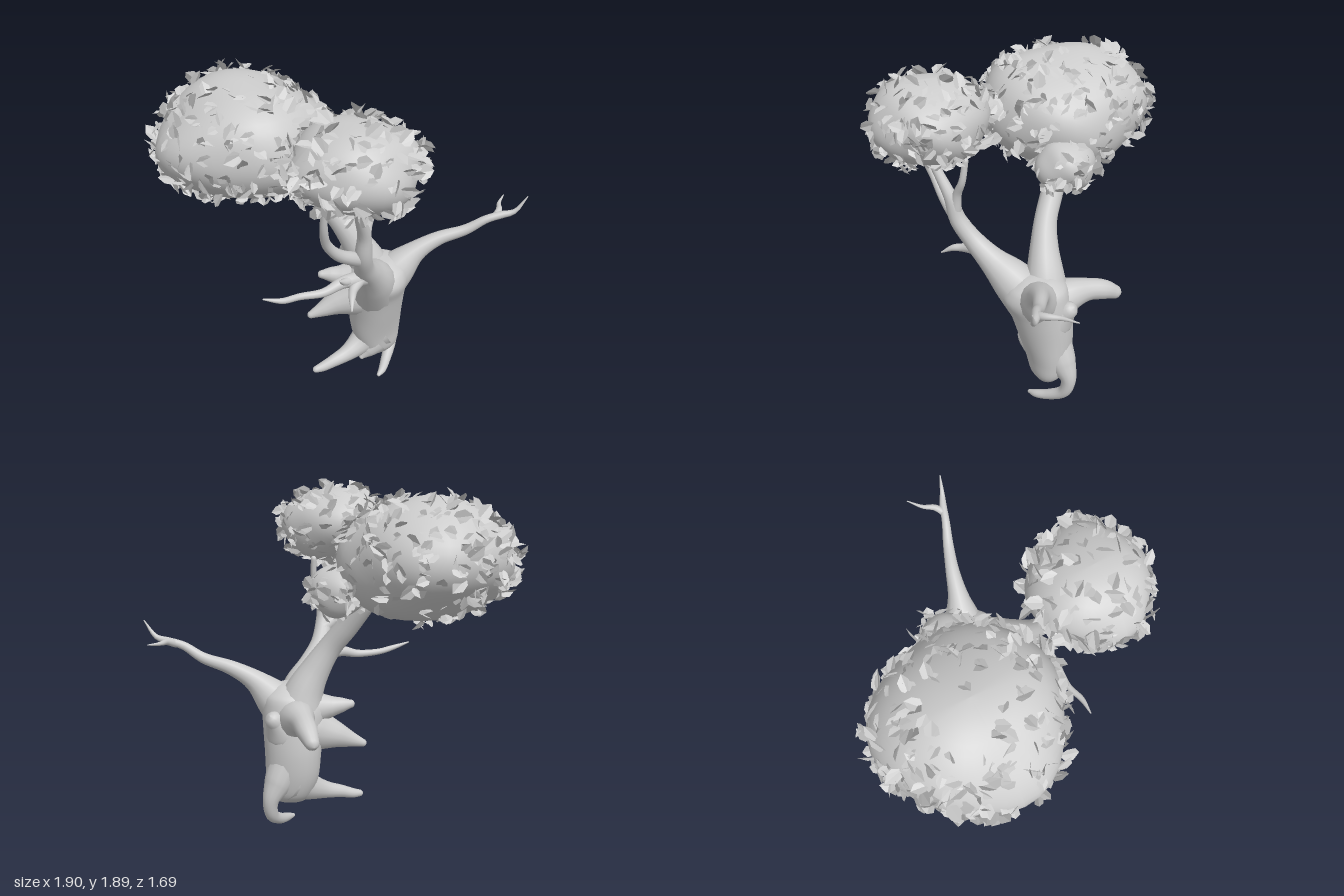
import * as THREE from 'three';
import { mergeGeometries } from 'three/addons/utils/BufferGeometryUtils.js';

const V = (x, y, z) => new THREE.Vector3(x, y, z);
const bark = new THREE.MeshStandardMaterial({ color: 0xcccccc });
const foliage = new THREE.MeshStandardMaterial({ color: 0xcccccc });
const leafMat = new THREE.MeshStandardMaterial({ color: 0xcccccc, side: THREE.DoubleSide, flatShading: true });

let seed = 7;
const rnd = (a = 0, b = 1) => {
  seed = (seed * 16807) % 2147483647;
  return a + (b - a) * seed / 2147483647;
};

function addMesh(group, name, geometry, material) {
  const mesh = new THREE.Mesh(geometry, material);
  mesh.name = name;
  group.add(mesh);
}

// Smooth skin over rings of equal point count
function skin(rings) {
  const n = rings[0].length, index = [];
  for (let i = 0; i < rings.length - 1; i++) {
    for (let j = 0; j < n; j++) {
      const a = i * n + j, b = i * n + (j + 1) % n;
      index.push(a, b, a + n, b, b + n, a + n);
    }
  }
  const g = new THREE.BufferGeometry().setFromPoints(rings.flat());
  g.setIndex(index);
  g.computeVertexNormals();
  return g;
}

// Tapering limb through points [x, y, z, radius], with a rounded tip
function limb(points, steps = 36, sides = 14) {
  const path = new THREE.CatmullRomCurve3(points.map(p => V(p[0], p[1], p[2])));
  const radius = new THREE.CatmullRomCurve3(points.map((p, i) => V(p[3], i, 0)));
  const { normals, binormals } = path.computeFrenetFrames(steps);
  const tip = points.at(-1)[3], rings = [];
  const ring = (c, i, r) => Array.from({ length: sides }, (_, j) => {
    const a = j / sides * Math.PI * 2;
    return c.clone().addScaledVector(normals[i], Math.cos(a) * r).addScaledVector(binormals[i], Math.sin(a) * r);
  });
  for (let i = 0; i <= steps; i++) {
    const t = path.getUtoTmapping(i / steps);
    rings.push(ring(path.getPoint(t), i, Math.max(radius.getPoint(t).x, 0.003)));
  }
  const end = path.getPoint(1), dir = path.getTangent(1);
  for (const a of [0.5, 1, 1.56]) {
    rings.push(ring(end.clone().addScaledVector(dir, tip * Math.sin(a)), steps, tip * Math.cos(a)));
  }
  return skin(rings);
}

// Trunk sections: y, centre x, centre z, half width, half depth
function trunk() {
  const rows = [[.14, .2, -.01, .002, .002], [.155, .21, -.015, .08, .05], [.2, .22, -.03, .118, .095],
    [.3, .21, -.04, .145, .125], [.45, .205, -.03, .155, .155], [.6, .2, -.005, .165, .172],
    [.7, .19, .02, .175, .185], [.77, .2, .02, .15, .155], [.82, .2, .02, .08, .08], [.83, .2, .02, .002, .002]];
  const centre = new THREE.CatmullRomCurve3(rows.map(r => V(r[1], r[0], r[2])));
  const size = new THREE.CatmullRomCurve3(rows.map(r => V(r[3], r[0], r[4])));
  const rings = [];
  for (let i = 0; i <= 45; i++) {
    const c = centre.getPoint(i / 45), s = size.getPoint(i / 45);
    rings.push(Array.from({ length: 28 }, (_, j) => {
      const a = -j / 28 * Math.PI * 2, k = 1 + 0.04 * Math.sin(3 * a + c.y * 4);
      return V(c.x + Math.cos(a) * s.x * k, c.y, c.z + Math.sin(a) * s.z * k);
    }));
  }
  return skin(rings);
}

// Point on a lumpy ellipsoid crown in direction d
function crownPoint(d, c) {
  const lump = 1 + 0.035 * Math.sin(4 * d.x + 2 * d.y + c.phase) + 0.03 * Math.sin(5 * d.z - 3 * d.y + c.phase);
  const taper = 1 - 0.12 * Math.max(0, -d.x);
  return V(c.at[0] + d.x * c.r[0] * lump, c.at[1] + d.y * c.r[1] * lump * taper, c.at[2] + d.z * c.r[2] * lump);
}

function crownBody(c) {
  const g = new THREE.SphereGeometry(1, 40, 28), p = g.attributes.position;
  for (let i = 0; i < p.count; i++) {
    const v = crownPoint(V().fromBufferAttribute(p, i).normalize(), c);
    p.setXYZ(i, v.x, v.y, v.z);
  }
  g.computeVertexNormals();
  return g;
}

// Creased pointed leaf, lying along +y
function leafGeometry() {
  const g = new THREE.BufferGeometry().setFromPoints(
    [V(0, 0, 0), V(.34, .35, .08), V(.28, .72, .08), V(0, 1, 0), V(-.3, .65, .1), V(-.26, .25, .08)]);
  g.setIndex([0, 1, 2, 0, 2, 3, 0, 3, 4, 0, 4, 5]);
  return g.toNonIndexed();
}

// Leaves scattered over a crown, leaning out of the surface
function leaves(c) {
  const base = leafGeometry(), parts = [];
  for (let i = 0; i < c.count; i++) {
    const y = rnd(-1, 0.98), a = rnd(0, Math.PI * 2), h = Math.sqrt(1 - y * y);
    const d = V(Math.cos(a) * h, y, Math.sin(a) * h);
    const normal = V(d.x / c.r[0], d.y / c.r[1], d.z / c.r[2]).normalize();
    const along = V(rnd(-1, 1), rnd(-1, 1), rnd(-1, 1)).projectOnPlane(normal).normalize()
      .addScaledVector(normal, rnd(0.1, 0.9)).normalize();
    const face = normal.clone().add(V(rnd(-.7, .7), rnd(-.7, .7), rnd(-.7, .7))).projectOnPlane(along).normalize();
    const side = along.clone().cross(face);
    const s = rnd(0.065, 0.11);
    const m = new THREE.Matrix4().makeBasis(side, along, face).scale(V(s, s, s));
    m.setPosition(crownPoint(d, c).addScaledVector(normal, -0.012));
    parts.push(base.clone().applyMatrix4(m));
  }
  const g = mergeGeometries(parts);
  g.computeVertexNormals();
  return g;
}

export function createModel() {
  const tree = new THREE.Group();
  tree.name = 'tree';
  addMesh(tree, 'trunk', trunk(), bark);

  const limbs = {
    // Long bare arm with a forked end
    leftArm: [[.2, .62, .02, .13], [.3, .74, .05, .105], [.4, .84, .08, .06], [.52, .91, .115, .04], [.66, .96, .17, .03],
      [.76, 1.025, .215, .023], [.84, 1.05, .245, .021], [.9, 1.07, .275, .014], [.96, 1.16, .3, .003]],
    leftArmFork: [[.8, 1.035, .235, .022], [.85, 1.055, .2, .018], [.89, 1.06, .14, .011], [.96, 1.07, .08, .003]],
    // Front branch carrying the small crown
    frontBranch: [[.17, .62, .03, .14], [.1, .77, .14, .115], [.03, .87, .23, .075], [-.04, .97, .31, .055],
      [-.08, 1.09, .38, .046], [-.09, 1.22, .41, .036], [-.13, 1.33, .45, .028], [-.18, 1.46, .5, .022]],
    frontBranchFork: [[-.06, 1.05, .35, .042], [-.15, 1.1, .39, .036], [-.24, 1.16, .42, .03], [-.31, 1.25, .45, .024],
      [-.34, 1.35, .49, .02], [-.35, 1.47, .52, .016]],
    frontBranchShoot: [[-.08, 1.14, .39, .035], [-.06, 1.25, .38, .024], [-.02, 1.34, .36, .019], [-.01, 1.46, .34, .016]],
    // Thin bare twig with small sprouts
    twig: [[.04, .87, .24, .05], [-.06, .9, .29, .042], [-.16, .915, .31, .033], [-.27, .89, .32, .023],
      [-.4, .895, .31, .018], [-.5, .91, .33, .015], [-.595, .94, .32, .004]],
    twigSproutLow: [[-.05, .9, .29, .035], [-.12, .88, .35, .024], [-.15, .87, .4, .018], [-.18, .835, .46, .004]],
    twigSproutHigh: [[-.1, .91, .3, .03], [-.16, .93, .33, .02], [-.2, .96, .36, .004]],
    // Thick branch under the large crown
    backBranch: [[.18, .66, -.03, .14], [.14, .8, -.04, .105], [.08, .92, -.055, .08], [.01, 1.04, -.085, .064],
      [-.06, 1.15, -.14, .062], [-.14, 1.3, -.22, .06]],
    // Blunt stub at the back and knobs on the right
    backStub: [[.2, .6, -.02, .13], [.21, .67, -.14, .1], [.21, .685, -.26, .065], [.21, .665, -.36, .056],
      [.205, .63, -.43, .04]],
    sideRidge: [[.22, .5, -.02, .12], [.28, .6, -.07, .1], [.33, .66, -.11, .05]],
    rightKnob: [[.18, .6, -.02, .15], [.07, .56, -.04, .115], [-.03, .53, -.06, .075], [-.11, .5, -.07, .045],
      [-.18, .475, -.08, .022]],
    rightKnobSmall: [[.1, .69, -.04, .1], [.0, .7, -.07, .06], [-.06, .71, -.09, .04], [-.1, .715, -.1, .024]],
    // Roots
    rightRoot: [[.22, .29, -.04, .13], [.12, .23, -.03, .08], [.02, .19, -.01, .05], [-.08, .165, 0, .036],
      [-.15, .145, 0, .028], [-.19, .14, 0, .02]],
    leftRoot: [[.25, .4, -.06, .1], [.31, .29, -.09, .078], [.355, .2, -.11, .045], [.345, .11, -.09, .036],
      [.28, .05, -.02, .03], [.225, .027, .04, .023], [.19, .02, .065, .012]],
    innerRoot: [[.2, .23, .01, .07], [.14, .18, .01, .045], [.1, .15, .015, .016]],
  };
  for (const [name, points] of Object.entries(limbs)) addMesh(tree, name, limb(points), bark);

  const crowns = {
    largeCrown: { at: [-.43, 1.53, -.32], r: [.46, .315, .46], phase: 0.4, count: 430 },
    largeCrownLobe: { at: [.0, 1.36, -.2], r: [.15, .14, .16], phase: 2, count: 60 },
    smallCrown: { at: [-.18, 1.645, .48], r: [.32, .215, .3], phase: 1.2, count: 270 },
  };
  for (const [name, c] of Object.entries(crowns)) {
    addMesh(tree, name, crownBody(c), foliage);
    addMesh(tree, name + 'Leaves', leaves(c), leafMat);
  }
  return tree;
}
